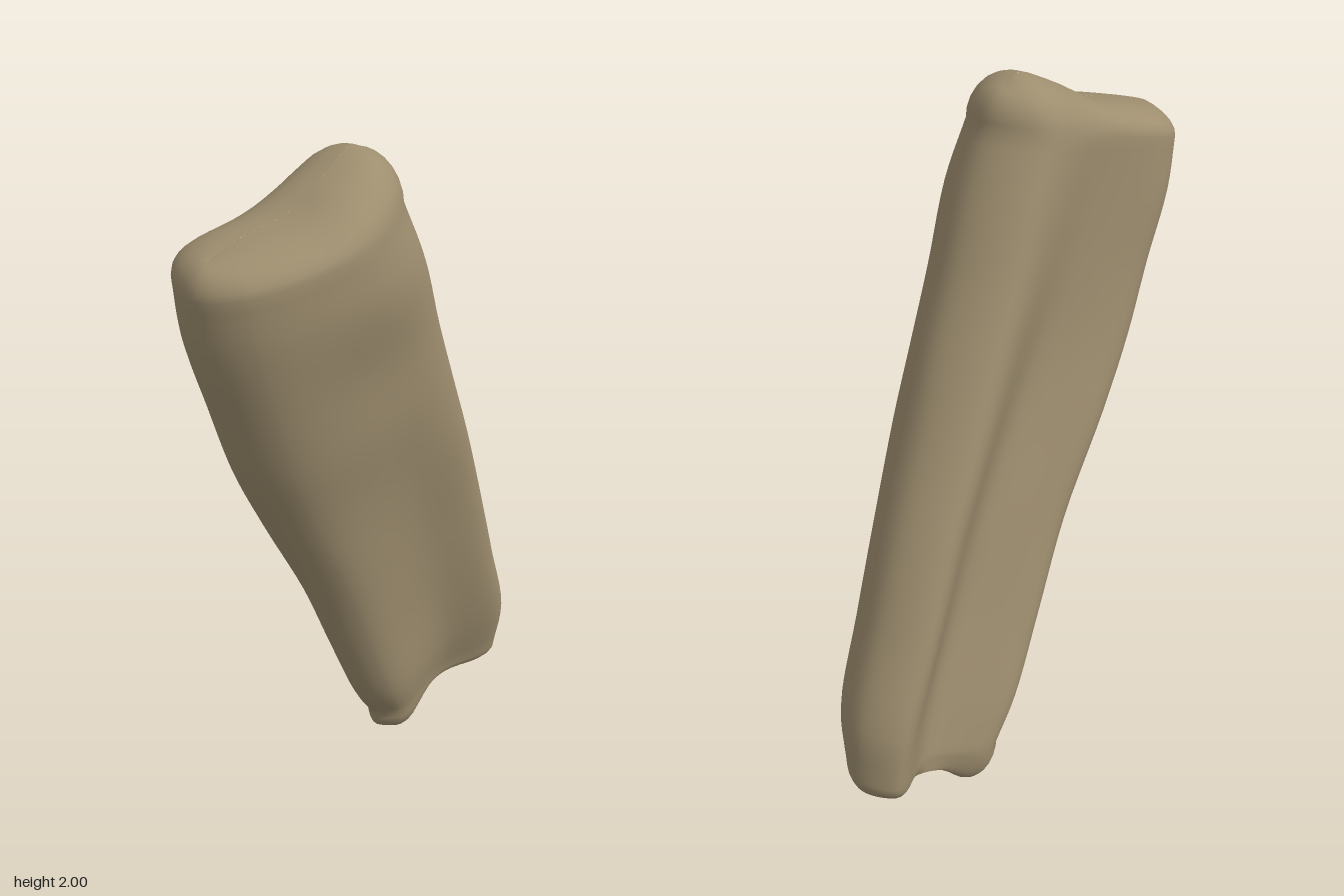
import * as THREE from 'three';

// Cross-sections from the lower end to the upper end.
// First four: z, y of the front edge and z, y of the back edge.
// Then x around the ring: front, +x side (3), back, -x side (3, the middle one is the groove).
const SECTIONS = [
  [-0.14, 0.10, -0.64, 0.21, -0.13, -0.05, -0.05, 0.03, -0.06, -0.17, -0.11, -0.20],
  [-0.05, 0.22, -0.625, 0.38, -0.11, -0.02, -0.01, 0.07, -0.06, -0.18, -0.10, -0.21],
  [0.07, 0.45, -0.53, 0.63, -0.10, 0.00, 0.03, 0.09, -0.05, -0.18, -0.09, -0.20],
  [0.20, 0.72, -0.43, 0.88, -0.10, 0.02, 0.07, 0.11, -0.04, -0.17, -0.09, -0.19],
  [0.36, 1.00, -0.31, 1.14, -0.10, 0.03, 0.11, 0.14, -0.02, -0.16, -0.09, -0.20],
  [0.47, 1.20, -0.23, 1.32, -0.09, 0.05, 0.14, 0.15, 0.00, -0.15, -0.10, -0.20],
  [0.55, 1.40, -0.14, 1.52, -0.08, 0.07, 0.16, 0.16, 0.01, -0.14, -0.12, -0.20],
  [0.62, 1.60, -0.06, 1.72, -0.07, 0.08, 0.20, 0.17, 0.02, -0.13, -0.14, -0.21],
  [0.645, 1.74, 0.01, 1.88, -0.05, 0.08, 0.20, 0.15, 0.02, -0.12, -0.155, -0.205],
];
// Share of the way from front edge to back edge for each ring point
const ACROSS = [0, 0.1, 0.53, 0.87, 1, 0.89, 0.53, 0.17];

// Crest lines that the rounded ends close onto, front to back (x, y, z)
const LOW_CREST = [
  [-0.15, 0.02, -0.21], [-0.14, 0, -0.27], [-0.12, 0.08, -0.36],
  [-0.10, 0.11, -0.45], [-0.09, 0.115, -0.53], [-0.07, 0.14, -0.59],
];
const HIGH_CREST = [
  [-0.05, 1.82, 0.58], [-0.04, 1.85, 0.48], [0, 1.885, 0.36],
  [0.02, 1.95, 0.25], [0.01, 2, 0.13], [0, 1.98, 0.07],
];
const AROUND = 64, STEPS = 40, CAP = 7;

function ringOf(s) {
  const pts = ACROSS.map((u, k) => new THREE.Vector3(
    s[4 + k],
    THREE.MathUtils.lerp(s[1], s[3], u),
    THREE.MathUtils.lerp(s[0], s[2], u)));
  return new THREE.CatmullRomCurve3(pts, true).getPoints(AROUND).slice(0, AROUND);
}

// Rings that round an end over onto its crest line
function capRings(ring, section, crest) {
  const line = new THREE.CatmullRomCurve3(crest.map((p) => new THREE.Vector3(...p)));
  const targets = ring.map((p) => line.getPoint(
    THREE.MathUtils.clamp((section[0] - p.z) / (section[0] - section[2]), 0, 1)));
  return Array.from({ length: CAP }, (_, i) => {
    const angle = (i + 1) / CAP * Math.PI / 2;
    const inward = 1 - Math.cos(angle), outward = Math.sin(angle);
    return ring.map((p, j) => new THREE.Vector3(
      THREE.MathUtils.lerp(p.x, targets[j].x, inward),
      THREE.MathUtils.lerp(p.y, targets[j].y, outward),
      THREE.MathUtils.lerp(p.z, targets[j].z, inward)));
  });
}

function loft() {
  const rings = SECTIONS.map(ringOf);
  const rows = Array.from({ length: STEPS + 1 }, () => []);
  for (let j = 0; j < AROUND; j++) {
    const line = new THREE.CatmullRomCurve3(rings.map((r) => r[j]));
    for (let i = 0; i <= STEPS; i++) rows[i].push(line.getPoint(i / STEPS));
  }
  const all = [
    ...capRings(rows[0], SECTIONS[0], LOW_CREST).reverse(),
    ...rows,
    ...capRings(rows[STEPS], SECTIONS[SECTIONS.length - 1], HIGH_CREST),
  ];

  const position = [], index = [];
  all.flat().forEach((p) => position.push(p.x, p.y, p.z));
  for (let i = 0; i < all.length - 1; i++) {
    const a = i * AROUND, b = a + AROUND;
    for (let j = 0; j < AROUND; j++) {
      const n = (j + 1) % AROUND;
      index.push(a + j, a + n, b + n, a + j, b + n, b + j);
    }
  }
  const geometry = new THREE.BufferGeometry();
  geometry.setAttribute('position', new THREE.Float32BufferAttribute(position, 3));
  geometry.setIndex(index);
  geometry.computeVertexNormals();
  return geometry;
}

export function createModel() {
  const model = new THREE.Group();
  model.name = 'bone';
  const boneBrown = new THREE.MeshStandardMaterial({ color: 0x9e8e6f });
  boneBrown.name = 'boneBrown';
  const shaft = new THREE.Mesh(loft(), boneBrown);
  shaft.name = 'boneShaft';
  model.add(shaft);
  return model;
}
